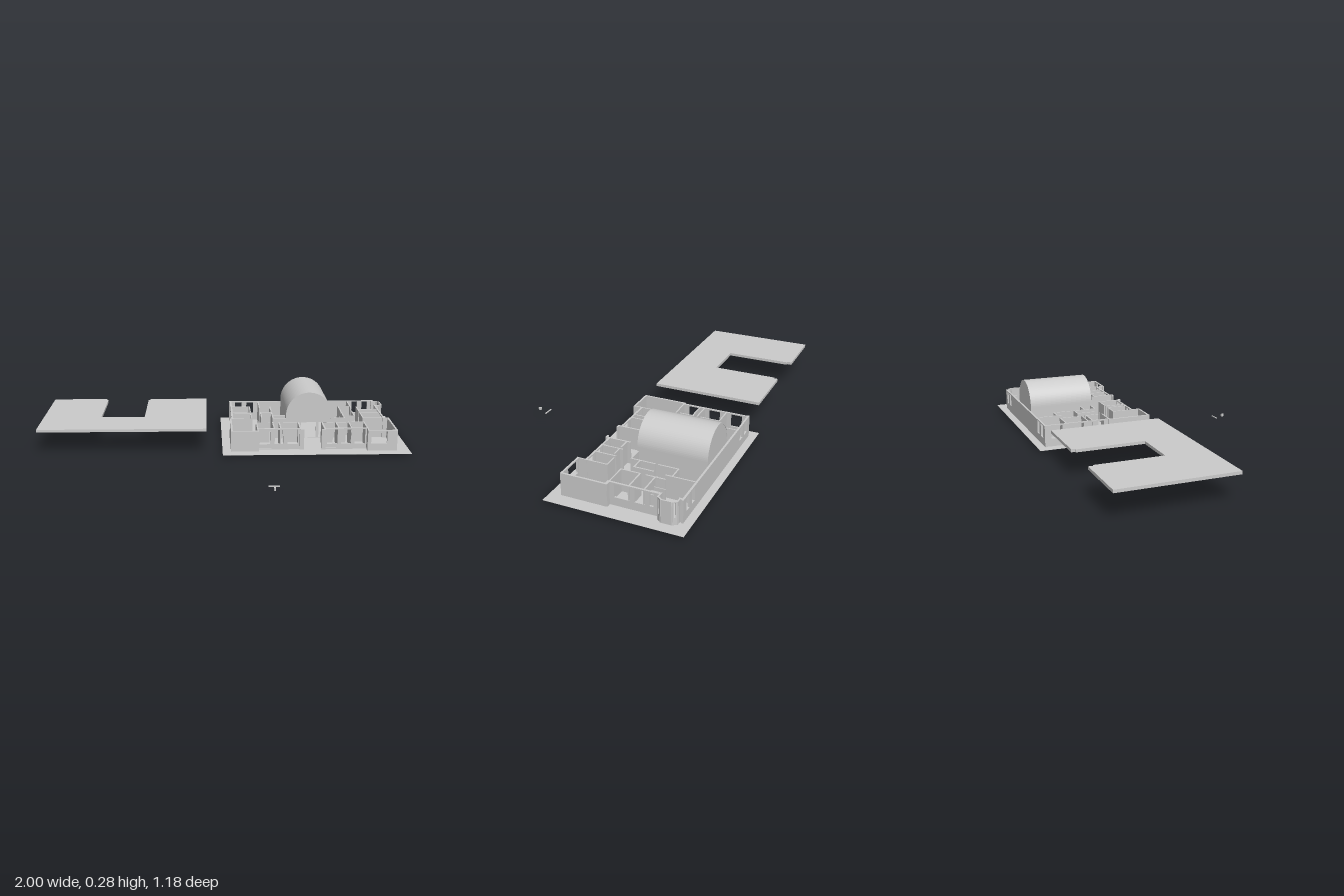
import * as THREE from 'three';

const material = new THREE.MeshStandardMaterial({ color: 0xcccccc, side: THREE.DoubleSide, flatShading: true });
const FLOOR = 0.013, TOP = 0.128, SILL = 0.055, LINTEL = 0.122;

function add(group, name, geometry) {
  const mesh = new THREE.Mesh(geometry, material);
  mesh.name = name;
  group.add(mesh);
  return mesh;
}

// Box given by its minimum and maximum corners
function box(group, name, x0, x1, y0, y1, z0, z1) {
  add(group, name, new THREE.BoxGeometry(x1 - x0, y1 - y0, z1 - z0))
    .position.set((x0 + x1) / 2, (y0 + y1) / 2, (z0 + z1) / 2);
}

// Upright wall between two plan points
function wall(group, name, [x0, z0, x1, z1], t = 0.007, y0 = FLOOR - 0.001, y1 = TOP) {
  const dx = x1 - x0, dz = z1 - z0;
  const mesh = add(group, name, new THREE.BoxGeometry(Math.hypot(dx, dz) + t, y1 - y0, t));
  mesh.position.set((x0 + x1) / 2, (y0 + y1) / 2, (z0 + z1) / 2);
  mesh.rotation.y = -Math.atan2(dz, dx);
}

// Wall with window openings, each given as a pair of fractions along its length
function windowWall(group, name, [x0, z0, x1, z1], openings, sill = SILL, t = 0.01) {
  const at = (a, b) => [x0 + (x1 - x0) * a, z0 + (z1 - z0) * a, x0 + (x1 - x0) * b, z0 + (z1 - z0) * b];
  wall(group, name + 'Base', at(0, 1), t, FLOOR - 0.001, sill);
  wall(group, name + 'Lintel', at(0, 1), t, LINTEL, TOP);
  let start = 0;
  for (const [a, b] of [...openings, [1, 1]]) {
    if (a >= start) wall(group, name + 'Pier', at(start, a), t, sill, LINTEL);
    start = b;
  }
}

function part(parent, name) {
  const group = new THREE.Group();
  group.name = name;
  parent.add(group);
  return group;
}

export function createModel() {
  const model = new THREE.Group();
  model.name = 'buildingWithLiftedRoof';

  // Ground sheet
  box(model, 'ground', -0.01, 1, 0.0125, 0.0135, -0.59, 0.09);

  // U-shaped roof slab laid beside the building
  const outline = [
    [-1, 0.03], [-0.095, 0.03], [-0.095, -0.555], [-0.43, -0.555], [-0.43, -0.535], [-0.44, -0.535],
    [-0.44, -0.19], [-0.68, -0.19], [-0.68, -0.535], [-0.69, -0.535], [-0.69, -0.56], [-1, -0.56],
  ];
  const roofShape = new THREE.Shape(outline.map(([x, z]) => new THREE.Vector2(x, -z)));
  const roof = add(model, 'roofSlab', new THREE.ExtrudeGeometry(roofShape, { depth: 0.015, bevelEnabled: false }));
  roof.rotation.x = -Math.PI / 2;
  roof.position.y = 0.128;

  // Barrel-vaulted hall
  const hall = part(model, 'vaultedHall');
  const CX = 0.4775, CY = 0.15, R = 0.1275;
  const profile = (r, y0) => {
    const s = new THREE.Shape();
    s.moveTo(CX + r, y0);
    s.lineTo(CX + r, CY);
    s.absarc(CX, CY, r, 0, Math.PI, false);
    s.lineTo(CX - r, y0);
    return s;
  };
  const extrude = (name, shape, z, depth) => {
    add(hall, name, new THREE.ExtrudeGeometry(shape, { depth, bevelEnabled: false, curveSegments: 24 })).position.z = z;
  };
  const shell = profile(R, FLOOR);
  const inside = profile(R - 0.006, FLOOR).getPoints(24).reverse();
  inside.forEach(p => shell.lineTo(p.x, p.y));
  extrude('vaultShell', shell, -0.54, 0.35);
  extrude('vaultBackWall', profile(R - 0.004, FLOOR), -0.539, 0.006);
  const front = profile(R - 0.004, FLOOR);
  for (const [x0, x1] of [[0.375, 0.42], [0.435, 0.52], [0.535, 0.58]]) {
    front.holes.push(new THREE.Path([[x0, 0.016], [x0, 0.105], [x1, 0.105], [x1, 0.016]].map(p => new THREE.Vector2(...p))));
  }
  extrude('vaultFrontWall', front, -0.197, 0.006);

  // Outer walls
  const outer = part(model, 'outerWalls');
  windowWall(outer, 'backWall', [0.045, -0.545, 0.905, -0.545], [[0.03, 0.09], [0.11, 0.17], [0.85, 0.9], [0.92, 0.97]]);
  windowWall(outer, 'rightRearWall', [0.05, -0.54, 0.05, -0.19], [[0.06, 0.26], [0.4, 0.6], [0.7, 0.92]]);
  windowWall(outer, 'leftRearWall', [0.9, -0.44, 0.9, -0.19], [[0.1, 0.22], [0.26, 0.5], [0.55, 0.9]]);
  wall(outer, 'leftRearCorner', [0.9, -0.54, 0.9, -0.53], 0.01);
  wall(outer, 'rightFrontWall', [0.04, -0.19, 0.04, 0.03], 0.01);
  wall(outer, 'leftFrontWall', [0.925, -0.19, 0.925, 0.03], 0.01);
  wall(outer, 'rightFrontBlock', [0.04, 0.03, 0.18, 0.03], 0.01);
  windowWall(outer, 'leftFrontBlock', [0.775, 0.03, 0.925, 0.03], [[0.06, 0.7]]);
  wall(outer, 'rightStep', [0.04, -0.19, 0.05, -0.19], 0.01);
  wall(outer, 'leftStep', [0.9, -0.19, 0.925, -0.19], 0.01);
  windowWall(outer, 'rightGlazing', [0.18, -0.012, 0.41, -0.012], [[0.03, 0.32], [0.36, 0.64], [0.68, 0.97]], 0.04);
  windowWall(outer, 'leftGlazing', [0.545, -0.012, 0.775, -0.012], [[0.03, 0.32], [0.36, 0.64], [0.68, 0.97]], 0.04);
  for (const z of [0.0, -0.024]) {
    wall(outer, 'windowLedge', [0.18, z, 0.41, z], 0.004, FLOOR, 0.02);
    wall(outer, 'windowLedge', [0.545, z, 0.775, z], 0.004, FLOOR, 0.02);
  }

  // Angled bay on the left rear corner
  const bay = [[0.9, -0.53], [0.925, -0.53], [0.94, -0.51], [0.94, -0.46], [0.925, -0.44], [0.9, -0.44]];
  for (let i = 1; i < bay.length; i++) {
    const run = [...bay[i - 1], ...bay[i]];
    if (i % 2 === 0) windowWall(outer, 'bay', run, [[0.2, 0.8]], 0.05, 0.007);
    else wall(outer, 'bayWall', run);
  }

  // Entrance jambs
  const entrance = part(model, 'entrance');
  for (const [x, s] of [[0.412, 1], [0.543, -1]]) {
    wall(entrance, 'entranceSideWall', [x, -0.12, x, 0.005], 0.009);
    wall(entrance, 'entranceReturn', [x, 0.005, x + s * 0.014, 0.005], 0.009);
  }

  // Interior partitions as plan segments
  const rooms = part(model, 'partitions');
  const segments = [
    // right rear rooms
    [0.05, -0.43, 0.155, -0.43], [0.05, -0.31, 0.155, -0.31], [0.05, -0.285, 0.155, -0.285], [0.04, -0.195, 0.16, -0.195],
    [0.157, -0.43, 0.157, -0.33], [0.157, -0.29, 0.157, -0.22],
    [0.215, -0.54, 0.215, -0.4], [0.215, -0.43, 0.278, -0.43], [0.278, -0.43, 0.278, -0.33],
    [0.215, -0.315, 0.278, -0.315], [0.215, -0.315, 0.215, -0.22], [0.278, -0.315, 0.278, -0.195],
    [0.278, -0.255, 0.35, -0.255], [0.278, -0.195, 0.35, -0.195],
    // left rear rooms
    [0.75, -0.54, 0.75, -0.4], [0.68, -0.43, 0.75, -0.43], [0.68, -0.43, 0.68, -0.335],
    [0.68, -0.315, 0.68, -0.195], [0.68, -0.24, 0.74, -0.24], [0.743, -0.335, 0.743, -0.24],
    [0.605, -0.195, 0.68, -0.195], [0.785, -0.41, 0.785, -0.32], [0.785, -0.29, 0.785, -0.195],
    [0.785, -0.29, 0.9, -0.29], [0.785, -0.363, 0.9, -0.363], [0.785, -0.195, 0.925, -0.195],
    // front rooms
    [0.18, -0.12, 0.18, 0.03], [0.18, -0.12, 0.25, -0.12], [0.27, -0.12, 0.27, -0.015], [0.305, -0.12, 0.305, -0.015],
    [0.33, -0.12, 0.412, -0.12], [0.543, -0.105, 0.6, -0.105], [0.62, -0.12, 0.62, -0.015],
    [0.69, -0.12, 0.69, -0.015], [0.62, -0.105, 0.67, -0.105], [0.71, -0.12, 0.775, -0.12], [0.775, -0.12, 0.775, 0.03],
  ];
  segments.forEach(s => wall(rooms, 'partition', s));

  // Washroom cubicles, which reach slightly below the floor
  const cubicles = part(model, 'cubicles');
  for (const x of [0.805, 0.837, 0.868]) {
    wall(cubicles, 'cubicleDivider', [x, -0.42, x, -0.365], 0.004, 0.005, 0.09);
  }
  box(cubicles, 'cubicleTray', 0.785, 0.87, 0.0, 0.012, -0.4, -0.335);

  // Loose pieces lying in front
  box(model, 'looseBar', 0.2, 0.255, 0.012, 0.016, 0.528, 0.534);
  box(model, 'looseBlock', 0.222, 0.23, 0.014, 0.028, 0.575, 0.59);
  return model;
}
